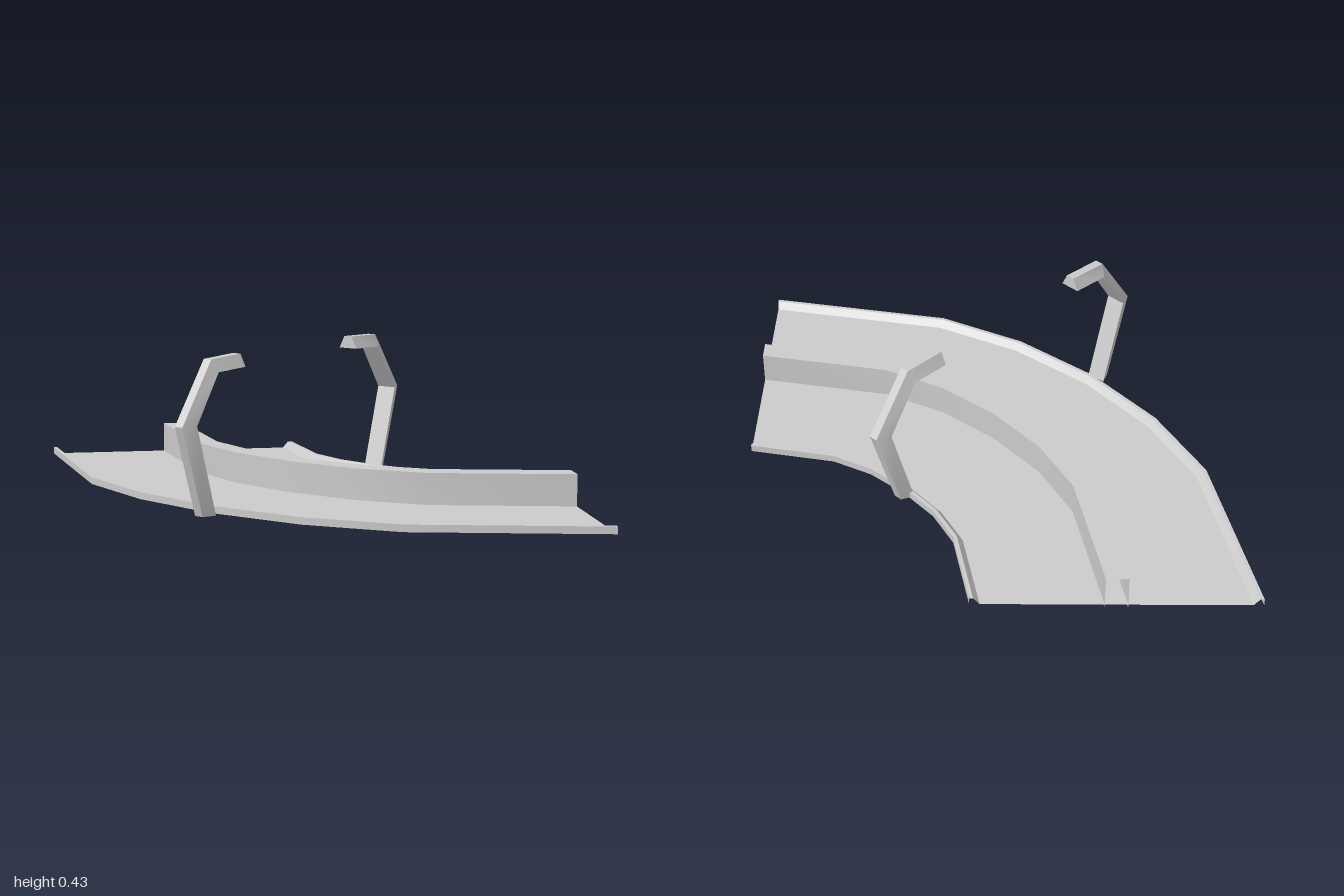
import * as THREE from 'three';
import { toCreasedNormals } from 'three/addons/utils/BufferGeometryUtils.js';

const material = new THREE.MeshStandardMaterial({ color: 0xcccccc, side: THREE.DoubleSide });

// Skin a list of equal-length cross-sections; closed rings also get end caps.
function skin(name, rings, closed = false) {
  const n = rings[0].length, index = [];
  for (let i = 0; i < rings.length - 1; i++) {
    for (let j = 0; j < (closed ? n : n - 1); j++) {
      const a = i * n + j, b = i * n + (j + 1) % n;
      index.push(a, a + n, b, b, a + n, b + n);
    }
  }
  if (closed) {
    const e = (rings.length - 1) * n;
    for (let j = 1; j < n - 1; j++) index.push(0, j, j + 1, e, e + j + 1, e + j);
  }
  const geometry = new THREE.BufferGeometry();
  geometry.setAttribute('position', new THREE.Float32BufferAttribute(rings.flat(2), 3));
  geometry.setIndex(index);
  const mesh = new THREE.Mesh(toCreasedNormals(geometry, 0.45), material);
  mesh.name = name;
  return mesh;
}

// Stations round the bend, as [outer x, outer z, inner x, inner z], mirrored in z
const half = [
  [0, -1, 0.545, -0.455],
  [-0.307, -0.545, 0.407, -0.25],
  [-0.39, -0.28, 0.37, -0.13],
];
const stations = [
  ...half,
  [-0.417, 0, 0.36, 0],
  ...half.map(([a, b, c, d]) => [a, -b, c, -d]).reverse(),
];

// Profile points are [fraction across the road, height]
const alongBend = (name, profile) => skin(name, stations.map(([ox, oz, ix, iz]) =>
  profile.map(([t, y]) => [ox + (ix - ox) * t, y, oz + (iz - oz) * t])));

// Bent rib with a trapezoid section, wide on its inner face
function makeRib(name) {
  const path = [ // outer x, y, inner x, y
    [-0.428, 0.01, -0.392, 0.01],
    [-0.507, 0.262, -0.467, 0.262],
    [-0.386, 0.43, -0.376, 0.396],
    [-0.262, 0.434, -0.262, 0.399],
  ];
  const rings = path.map(([ox, oy, ix, iy]) => [
    [ox, oy, 0.013], [ox, oy, -0.013], [ix, iy, -0.03], [ix, iy, 0.03],
  ]);
  return skin(name, rings, true);
}

export function createModel() {
  const model = new THREE.Group();
  model.name = 'curvedTrack';

  // Road sheet with a raised bevelled kerb on each edge
  model.add(alongBend('roadWithKerbs', [
    [0, 0.01], [0, 0.03], [0.014, 0.03], [0.036, 0.01],
    [0.964, 0.01], [0.986, 0.03], [1, 0.03], [1, 0.01],
  ]));

  // Central divider, open at the ends and underneath
  model.add(alongBend('centreDivider', [[0.46, 0], [0.46, 0.1], [0.54, 0.1], [0.54, 0]]));

  // Pair of facing ribs that arch over the road
  const ribs = new THREE.Group();
  ribs.name = 'archRibs';
  ribs.position.x = -0.0435;
  const rightRib = makeRib('rightRib');
  const leftRib = makeRib('leftRib');
  leftRib.rotation.y = Math.PI;
  ribs.add(rightRib, leftRib);
  model.add(ribs);

  return model;
}
